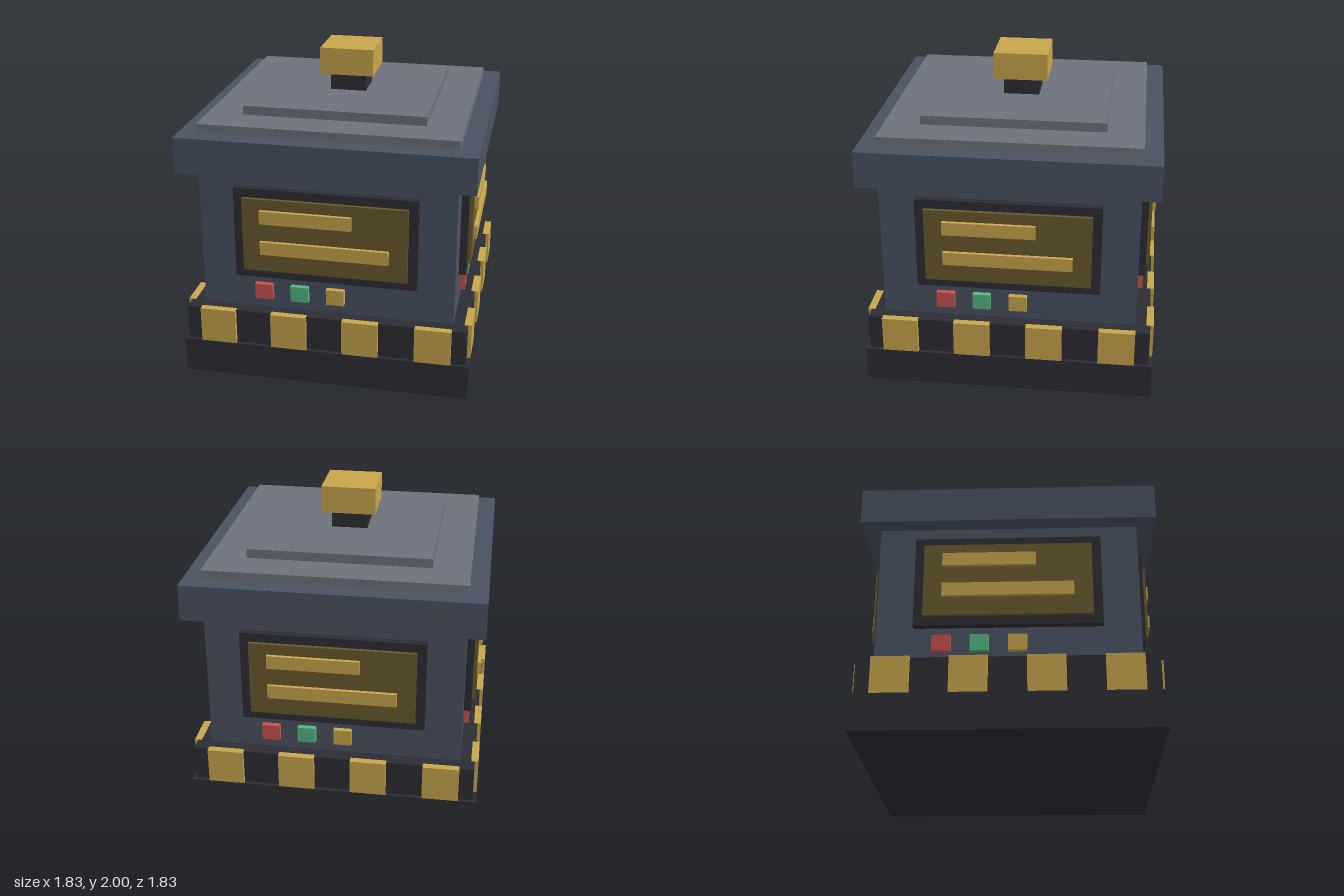
import * as THREE from 'three';

// Everything sits on a grid 35 units tall, scaled to a height of 2.
const U = 2 / 35;

function material(name, color) {
  const m = new THREE.MeshStandardMaterial({ color });
  m.name = name;
  return m;
}

export function createModel() {
  const charcoal = material('charcoal', 0x2d2d35);
  const slate = material('slate', 0x4a5263);
  const grey = material('roof grey', 0x6e727d);
  const gold = material('gold', 0xc9a64d);
  const amber = material('dark amber', 0x6a592d);
  const red = material('red', 0xc9534c);
  const green = material('green', 0x55b881);

  // Box given by its grid limits
  function box(parent, name, mat, [x0, x1], [y0, y1], [z0, z1]) {
    const geo = new THREE.BoxGeometry((x1 - x0) * U, (y1 - y0) * U, (z1 - z0) * U);
    const mesh = new THREE.Mesh(geo, mat);
    mesh.position.set((x0 + x1) / 2 * U, (y0 + y1) / 2 * U, (z0 + z1) / 2 * U);
    mesh.name = name;
    parent.add(mesh);
  }

  const model = new THREE.Group();
  model.name = 'booth';

  // Stacked square tiers: name, material, half width, bottom, top
  const tiers = [
    ['base', charcoal, 16, 0, 4],
    ['stripeBand', charcoal, 15.6, 4, 8],
    ['body', slate, 14, 8, 24],
    ['cornice', slate, 16, 24, 28],
    ['lowerRoof', grey, 14, 28, 29],
    ['upperRoof', grey, 10, 29, 30],
    ['lampNeck', charcoal, 2, 30, 32],
    ['lamp', gold, 3, 32, 35],
  ];
  for (const [name, mat, h, y0, y1] of tiers) box(model, name, mat, [-h, h], [y0, y1], [-h, h]);

  // The same panel on all four sides
  ['front', 'left', 'back', 'right'].forEach((name, i) => {
    const side = new THREE.Group();
    side.name = name + 'Panel';
    side.rotation.y = i * Math.PI / 2;
    model.add(side);

    // Screen with two raised lines
    box(side, 'screenFrame', charcoal, [-10, 10], [12, 22.4], [13.8, 14.8]);
    box(side, 'screen', amber, [-9, 9], [13, 21.4], [14.6, 15.2]);
    box(side, 'shortLine', gold, [-7, 3], [18.7, 20.2], [15, 15.6]);
    box(side, 'longLine', gold, [-7, 7], [15.1, 16.6], [15, 15.6]);

    // Buttons
    [red, green, gold].forEach((mat, b) => {
      const x = -8 + b * 4;
      box(side, 'button', mat, [x, x + 2], [9.2, 11], [13.8, 14.6]);
    });

    // Warning stripes
    for (let x = -14; x <= 10; x += 8) {
      box(side, 'warningStripe', gold, [x, x + 4], [4, 8.03], [15.2, 16]);
    }
  });

  return model;
}
